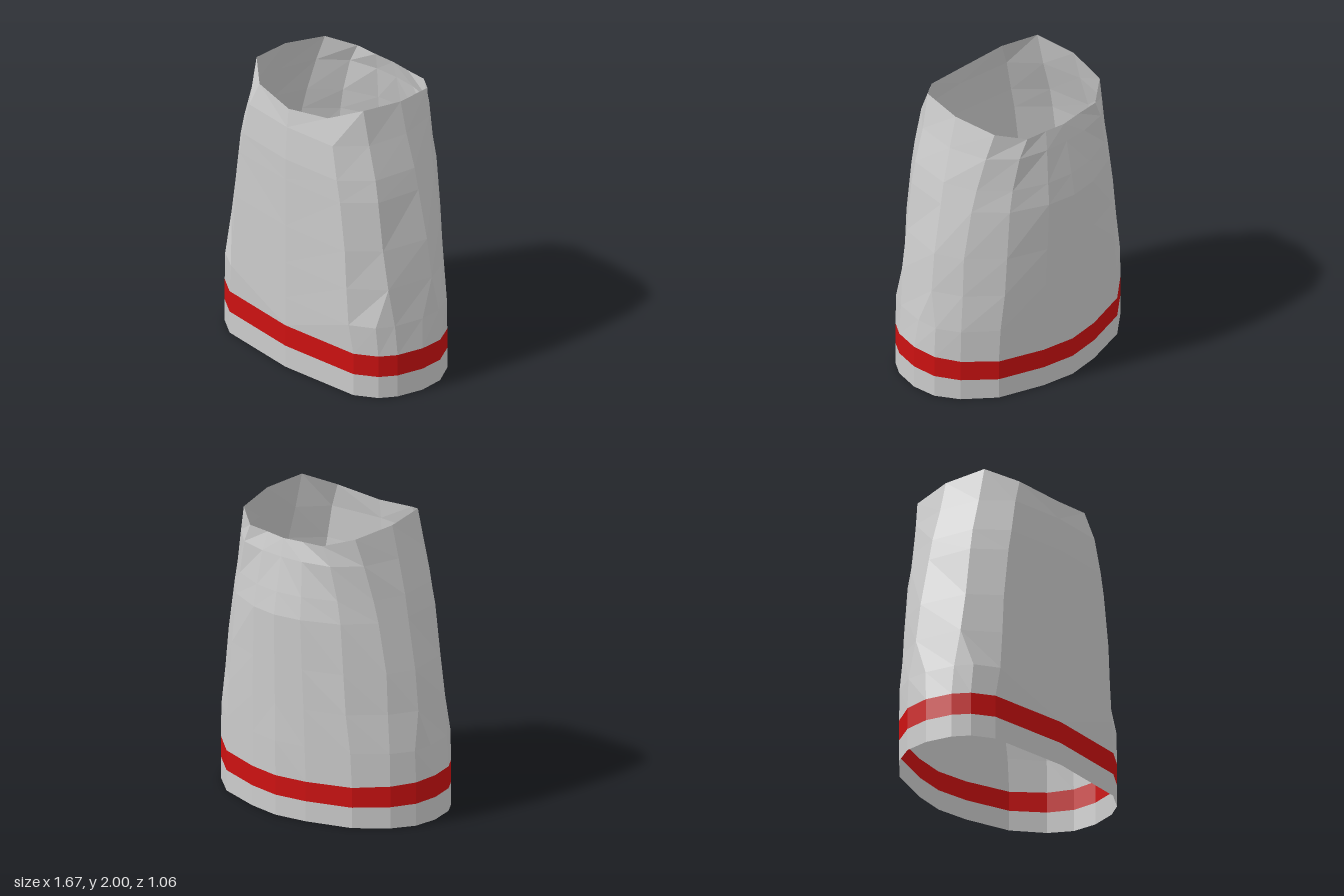
import * as THREE from 'three';

// Half cross-sections [x, z], from front centre round the +x side to back centre
const hemRing = [[0, .53], [.58, .475], [.72, .385], [.79, .28], [.835, .1],
  [.82, -.07], [.73, -.22], [.54, -.38], [.23, -.48], [0, -.515]];
const hipRing = [[0, .53], [.55, .49], [.705, .395], [.77, .285], [.815, .08],
  [.81, -.07], [.725, -.22], [.53, -.385], [.225, -.485], [0, -.52]];
const upperRings = [
  [.77, [[0, .53], [.53, .49], [.735, .31], [.795, -.02], [.7, -.21], [.5, -.395], [.22, -.49], [0, -.52]]],
  [1.04, [[0, .53], [.515, .49], [.69, .315], [.76, -.01], [.68, -.2], [.48, -.395], [.21, -.495], [0, -.525]]],
  [1.38, [[0, .53], [.47, .49], [.645, .315], [.69, 0], [.62, -.21], [.45, -.39], [.2, -.5], [0, -.53]]],
  [1.53, [[0, .53], [.44, .49], [.615, .31], [.66, .005], [.585, -.22], [.42, -.385], [.19, -.48], [0, -.505]]],
  [1.76, [[0, .515], [.39, .48], [.55, .305], [.595, .015], [.53, -.25], [.37, -.4], [.17, -.45], [0, -.46]]],
  [0, [[0, .5], [.32, .455], [.5, .31], [.54, .015], [.48, -.28], [.31, -.41], [.15, -.42], [0, -.435]]],
];
const rimHeights = [1.89, 1.93, 2, 1.975, 1.94, 1.89, 1.885, 1.88];

// The two side columns split in two below the hip, so double them above it
const doubled = [0, 1, 2, 2, 3, 3, 4, 5, 6, 7];

// Full closed ring from a half section, mirrored across x
function fullRing(half, height) {
  const pts = half.map(([x, z], i) => new THREE.Vector3(x, height(z, i), z));
  const mirrored = pts.slice(1, -1).reverse().map(p => new THREE.Vector3(-p.x, p.y, p.z));
  return [...pts, ...mirrored];
}

// Open surface through a stack of rings, skipping collapsed triangles
function loft(name, rings, color) {
  const pos = [];
  const tri = (a, b, c) => {
    if (a.equals(b) || b.equals(c) || a.equals(c)) return;
    for (const p of [a, b, c]) pos.push(p.x, p.y, p.z);
  };
  for (let r = 0; r < rings.length - 1; r++) {
    const lo = rings[r], hi = rings[r + 1], n = lo.length;
    for (let i = 0; i < n; i++) {
      const j = (i + 1) % n;
      if (i < n / 2) { // mirrored diagonals on the two halves
        tri(lo[i], lo[j], hi[j]);
        tri(lo[i], hi[j], hi[i]);
      } else {
        tri(lo[i], lo[j], hi[i]);
        tri(lo[j], hi[j], hi[i]);
      }
    }
  }
  const geo = new THREE.BufferGeometry();
  geo.setAttribute('position', new THREE.Float32BufferAttribute(pos, 3));
  geo.computeVertexNormals();
  const mesh = new THREE.Mesh(geo, new THREE.MeshStandardMaterial({
    color, flatShading: true, side: THREE.DoubleSide,
  }));
  mesh.name = name;
  return mesh;
}

export function createModel() {
  const group = new THREE.Group();
  group.name = 'skirt';

  // The stripe dips slightly toward the back
  const dip = y => z => y * (1 - 0.11 * Math.min(1, Math.max(0, (0.05 - z) / 0.5)));
  const hem = fullRing(hemRing, () => 0);
  const stripeLow = fullRing(hemRing, dip(0.155));
  const stripeHigh = fullRing(hemRing, dip(0.305));
  const hip = fullRing(hipRing, () => 0.51);

  // Tapering upper body, ending in the wavy waist rim
  const upper = upperRings.map(([y, half]) =>
    fullRing(doubled.map(k => half[k]), (z, i) => y || rimHeights[doubled[i]]));

  group.add(
    loft('hem', [hem, stripeLow], 0xcccccc),
    loft('stripe', [stripeLow, stripeHigh], 0xcc1111),
    loft('skirtBody', [stripeHigh, hip, ...upper], 0xcccccc),
  );
  return group;
}
